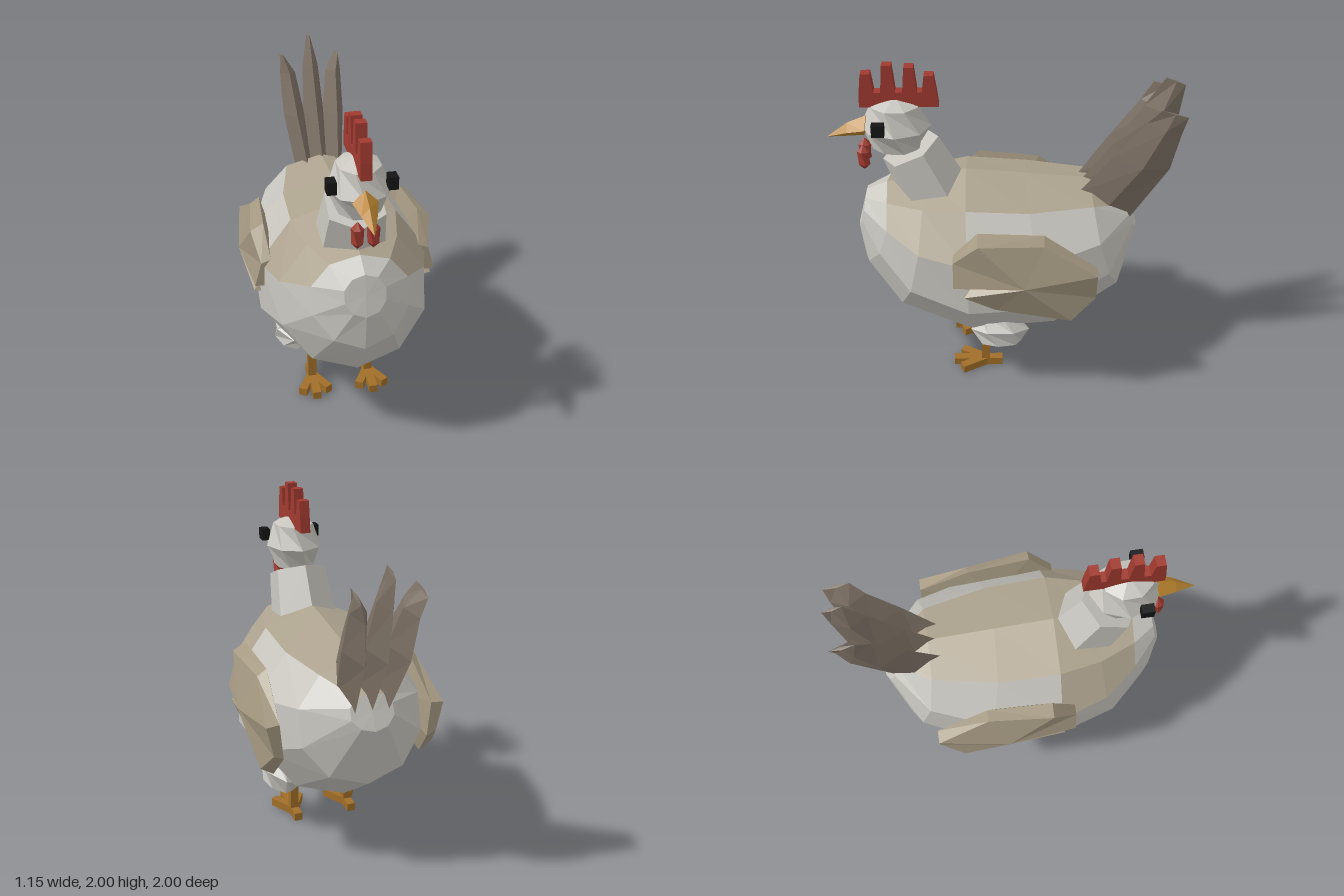
import * as THREE from 'three';

const paint = (color) => new THREE.MeshStandardMaterial({ color, flatShading: true });
const GREY = paint(0xc6c4bd), TAN = paint(0xaca28e), WING = paint(0xa39780), TAIL = paint(0x7d7165);
const RED = paint(0xa03a30), BEAK = paint(0xb8842f), LEG = paint(0xa06e28), BLACK = paint(0x151515);

// Skin closed rings of [x, y, z] points, with a fan to a point at each end.
function loft(rings, start, end, keep = () => true) {
  const pos = [];
  const tri = (...pts) => pts.forEach((p) => pos.push(...p));
  const n = rings[0].length;
  for (let j = 0; j < n; j++) {
    const k = (j + 1) % n;
    const last = rings.length - 1;
    if (start && keep(-1, j)) tri(start, rings[0][k], rings[0][j]);
    for (let i = 0; i < last; i++) {
      if (!keep(i, j)) continue;
      const a = rings[i], b = rings[i + 1];
      tri(a[j], a[k], b[k]);
      tri(a[j], b[k], b[j]);
    }
    if (end && keep(last, j)) tri(end, rings[last][j], rings[last][k]);
  }
  const g = new THREE.BufferGeometry();
  g.setAttribute('position', new THREE.Float32BufferAttribute(pos, 3));
  g.computeVertexNormals();
  return g;
}

function add(parent, name, geometry, material, x = 0, y = 0, z = 0) {
  const mesh = new THREE.Mesh(geometry, material);
  mesh.name = name;
  mesh.position.set(x, y, z);
  parent.add(mesh);
  return mesh;
}

// Low-poly ball whose rows are twisted about y, giving slanted feathery facets.
function blob(rx, ry, rz, w, h) {
  const g = new THREE.SphereGeometry(1, w, h);
  const p = g.attributes.position, v = new THREE.Vector3(), up = new THREE.Vector3(0, 1, 0);
  for (let i = 0; i < p.count; i++) {
    v.fromBufferAttribute(p, i);
    v.applyAxisAngle(up, -0.5 * v.y);
    p.setXYZ(i, v.x, v.y, v.z);
  }
  return g.scale(rx, ry, rz);
}

// Ten-sided body rings: top z, top y, bottom z, bottom y, half width, z shift at the sides.
function addBody(parent) {
  const rings = [
    [0.80, 1.20, 0.86, 0.97, 0.118, -0.01],
    [0.68, 1.25, 0.84, 0.75, 0.28, -0.07],
    [0.46, 1.29, 0.64, 0.47, 0.43, -0.04],
    [0.22, 1.335, 0.20, 0.29, 0.515, 0],
    [-0.12, 1.305, -0.32, 0.34, 0.50, 0],
    [-0.50, 1.27, -0.70, 0.60, 0.37, 0.03],
    [-0.70, 1.15, -0.79, 0.96, 0.13, 0.01],
  ].map(([zt, yt, zb, yb, w, shift]) => Array.from({ length: 10 }, (_, j) => {
    const a = (j / 10) * Math.PI * 2, t = (1 - Math.cos(a)) / 2;
    return [w * Math.sin(a), yt + (yb - yt) * t, zt + (zb - zt) * t + shift * Math.sin(a) ** 2];
  }));
  const start = [0, 1.085, 0.83], end = [0, 1.055, -0.745];
  // Tan plumage covers the back and the shoulders.
  const isBack = (i, j) => {
    const column = Math.min(j, 9 - j);
    return i >= 1 && i <= 5 && (column === 0 || (column === 1 && i < 3));
  };
  add(parent, 'body', loft(rings, start, end, (i, j) => !isBack(i, j)), GREY);
  add(parent, 'backPlumage', loft(rings, null, null, isBack), TAN);
}

function addHead(parent) {
  const neck = add(parent, 'neck', new THREE.CylinderGeometry(0.176, 0.205, 0.30, 6), GREY, 0, 1.34, 0.47);
  neck.rotation.x = 0.42;
  add(parent, 'head', blob(0.17, 0.185, 0.2, 8, 4), GREY, 0, 1.625, 0.605);

  // Comb: a base strip with four tapering teeth, drawn in (z, y).
  const comb = new THREE.Shape();
  comb.moveTo(0.36, 1.75);
  comb.lineTo(0.80, 1.75);
  for (const [z, top] of [[0.755, 1.95], [0.637, 2.0], [0.517, 1.99], [0.41, 1.94]]) {
    comb.lineTo(z + 0.04, 1.84);
    comb.lineTo(z + 0.026, top);
    comb.lineTo(z - 0.026, top);
    comb.lineTo(z - 0.04, 1.84);
  }
  const combGeo = new THREE.ExtrudeGeometry(comb, { depth: 0.06, bevelEnabled: false });
  combGeo.translate(0, 0, -0.03).rotateY(-Math.PI / 2);
  add(parent, 'comb', combGeo, RED);

  const beakRing = [[0, 1.685, 0.77], [0.068, 1.62, 0.78], [0, 1.56, 0.79], [-0.068, 1.62, 0.78]];
  const beakMid = [[0, 1.64, 0.88], [0.042, 1.595, 0.88], [0, 1.555, 0.88], [-0.042, 1.595, 0.88]];
  add(parent, 'beak', loft([beakMid, beakRing], [0, 1.55, 1.0], [0, 1.62, 0.74]), BEAK);

  for (const s of [1, -1]) {
    const side = s > 0 ? 'left' : 'right';
    add(parent, side + 'Eye', new THREE.BoxGeometry(0.05, 0.07, 0.07), BLACK, s * 0.16, 1.68, 0.69);
    add(parent, side + 'Wattle', blob(0.04, 0.08, 0.043, 6, 3), RED, s * 0.042, 1.44, 0.795);
  }
}

// Three flattened feathers fanning outward.
function addTail(parent) {
  for (const s of [-1, 0, 1]) {
    const drop = Math.abs(s) * 0.11;
    const ring = (x, w, zf, yf, zb, yb) => {
      const zm = (zf + zb) / 2, ym = (yf + yb) / 2;
      return [[x, yf, zf], [x + w, ym, zm], [x, yb, zb], [x - w, ym, zm]];
    };
    const rings = [
      ring(s * 0.095, 0.05, -0.43, 1.23, -0.72, 1.03),
      ring(s * 0.125, 0.065, -0.61, 1.48, -0.935, 1.40),
      ring(s * 0.145, 0.048, -0.78, 1.74 - drop / 3, -0.98, 1.70 - drop / 2),
      ring(s * 0.175, 0.01, -0.89 + drop / 3, 1.91 - drop, -1.0, 1.865 - drop),
    ];
    const end = [s * 0.175, 1.888 - drop, -0.945 + drop / 6];
    add(parent, 'tailFeather', loft(rings, [s * 0.095, 1.13, -0.575], end), TAIL);
  }
}

// Faceted wing: a rim in (z, y), a ridged outer layer and a peak on each face.
function addWing(parent) {
  const outline = [[0.15, 1.19], [0.29, 1.03], [0.29, 0.86], [0.19, 0.83], [0.23, 0.78],
    [0.05, 0.64], [-0.38, 0.58], [-0.52, 0.74], [-0.52, 0.95], [-0.22, 1.16]];
  const layer = (x, scaleY, ridge) => outline.map(([z, y], j) =>
    [x + (j % 2 ? -ridge : ridge), 0.89 + (y - 0.89) * scaleY, z]);
  const rings = [layer(0.44, 1, 0.01), layer(0.505, 0.85, 0.02)];
  add(parent, 'wing', loft(rings, [0.35, 0.89, -0.1], [0.575, 0.89, -0.11]), WING);
}

function addLeg(parent) {
  const thigh = add(parent, 'thigh', blob(0.135, 0.13, 0.18, 7, 4), GREY, 0.272, 0.368, 0.025);
  thigh.rotation.z = 0.35;
  add(parent, 'shank', new THREE.BoxGeometry(0.05, 0.36, 0.05), LEG, 0.177, 0.2, 0.115);
  // Toes: three spread forward, one short behind.
  for (const [angle, length] of [[0, 0.2], [0.5, 0.17], [-0.5, 0.17], [Math.PI, 0.1]]) {
    const geo = new THREE.BoxGeometry(0.05, 0.05, length);
    geo.translate(0, 0.025, length / 2).rotateY(angle);
    add(parent, 'toe', geo, LEG, 0.177, 0, 0.112);
  }
}

export function createModel() {
  const model = new THREE.Group();
  model.name = 'chicken';
  addBody(model);
  addHead(model);
  addTail(model);
  for (const s of [1, -1]) {
    const half = new THREE.Group();
    half.name = s > 0 ? 'leftLimbs' : 'rightLimbs';
    half.scale.x = s;
    addWing(half);
    addLeg(half);
    model.add(half);
  }
  return model;
}
